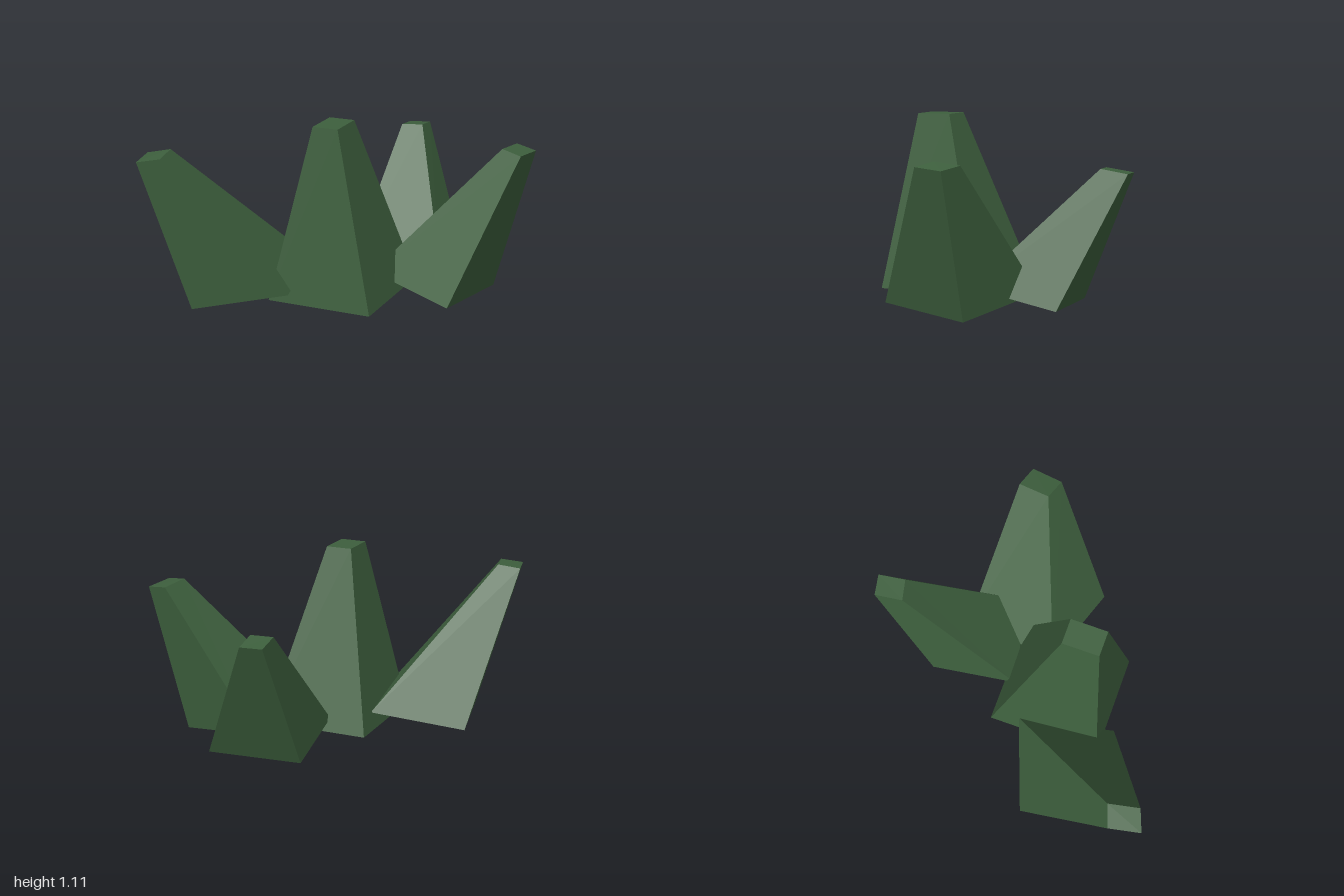
import * as THREE from 'three';

const green = new THREE.MeshStandardMaterial({ color: 0x3d5f3d });
green.name = 'dark leaf green';

// Four-sided tapered spike from a base ring and a tip ring,
// each listed front-left, front-right, back-right, back-left.
function makeSpike(name, base, tip) {
  const pos = [];
  const quad = (a, b, c, d) => pos.push(...a, ...b, ...c, ...a, ...c, ...d);
  for (let i = 0; i < 4; i++) {
    const j = (i + 1) % 4;
    quad(base[i], base[j], tip[j], tip[i]);
  }
  quad(...tip);
  quad(base[3], base[2], base[1], base[0]);
  const geometry = new THREE.BufferGeometry();
  geometry.setAttribute('position', new THREE.Float32BufferAttribute(pos, 3));
  geometry.computeVertexNormals(); // unshared corners give flat faces
  const mesh = new THREE.Mesh(geometry, green);
  mesh.name = name;
  return mesh;
}

export function createModel() {
  const group = new THREE.Group();
  group.name = 'spikyPlant';

  // Upright spike in the middle
  group.add(makeSpike('centreSpike',
    [[-0.35, 0.033, 0.56], [0.31, 0.033, 0.56], [0.31, 0.045, -0.15], [-0.35, 0.045, -0.15]],
    [[-0.1, 1.105, 0.45], [0.06, 1.105, 0.45], [0.06, 1.11, 0.22], [-0.1, 1.11, 0.22]]));

  // Spike leaning out to the front and right
  group.add(makeSpike('frontRightSpike',
    [[-0.73, 0.005, 0.82], [-0.19, 0.108, 0.62], [-0.32, 0.143, 0.03], [-0.86, 0.04, 0.23]],
    [[-0.96, 0.932, 1.0], [-0.83, 0.952, 0.95], [-0.87, 0.963, 0.765], [-1.0, 0.94, 0.81]]));

  // Spike leaning out to the left
  group.add(makeSpike('leftSpike',
    [[0.125, 0.135, 0.1], [0.68, 0.04, 0.265], [0.757, 0.003, -0.33], [0.205, 0.1, -0.5]],
    [[0.84, 0.92, -0.19], [0.97, 0.898, -0.15], [1.0, 0.89, -0.345], [0.865, 0.91, -0.385]]));

  // Spike leaning out to the back
  group.add(makeSpike('backSpike',
    [[-0.097, 0.11, -0.08], [0.45, 0.135, -0.19], [0.4, 0.045, -0.73], [-0.145, 0.02, -0.62]],
    [[-0.065, 0.835, -0.8], [0.065, 0.84, -0.83], [0.05, 0.818, -1.0], [-0.08, 0.815, -0.975]]));

  return group;
}
